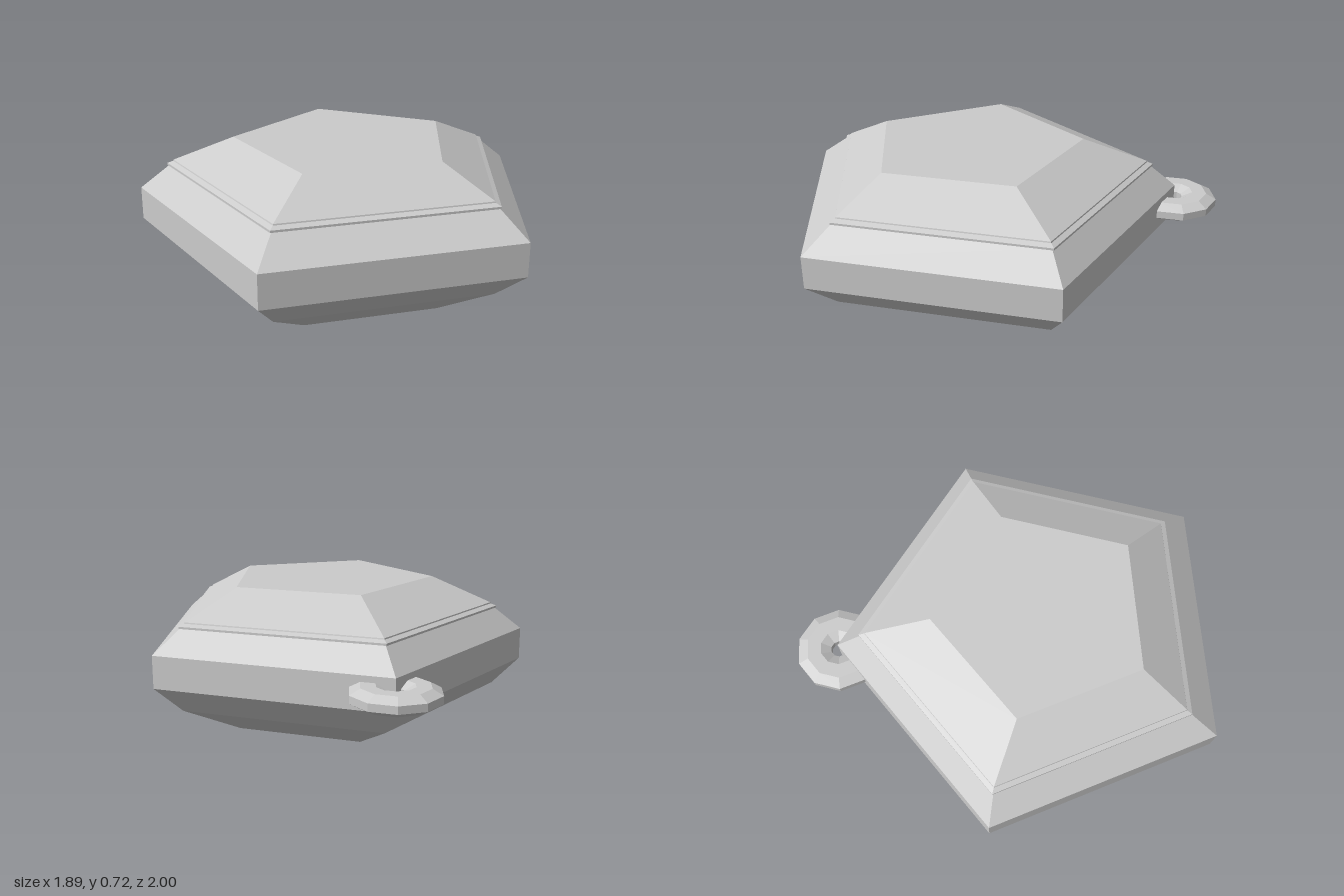
import * as THREE from 'three';

const material = new THREE.MeshStandardMaterial({ color: 0xcccccc, flatShading: true });

// Closed solid from stacked pentagons, each [radius, y, centre z], bottom to top; one corner points back
function pentagonLoft(name, rings) {
  const positions = [];
  const corner = ([r, y, cz], k) => {
    const a = Math.PI + (k * Math.PI * 2) / 5;
    return [r * Math.sin(a), y, cz + r * Math.cos(a)];
  };
  const first = rings[0], last = rings[rings.length - 1];
  for (let k = 0; k < 5; k++) {
    for (let i = 0; i < rings.length - 1; i++) {
      const a = corner(rings[i], k), b = corner(rings[i], k + 1);
      const c = corner(rings[i + 1], k + 1), d = corner(rings[i + 1], k);
      positions.push(...a, ...b, ...c, ...a, ...c, ...d);
    }
    // flat caps
    positions.push(0, first[1], first[2], ...corner(first, k + 1), ...corner(first, k));
    positions.push(0, last[1], last[2], ...corner(last, k), ...corner(last, k + 1));
  }
  const geometry = new THREE.BufferGeometry();
  geometry.setAttribute('position', new THREE.Float32BufferAttribute(positions, 3));
  geometry.computeVertexNormals();
  const mesh = new THREE.Mesh(geometry, material);
  mesh.name = name;
  return mesh;
}

export function createModel() {
  const model = new THREE.Group();
  model.name = 'pentagonCase';

  // Faceted case with a straight band around its widest part
  model.add(pentagonLoft('body', [
    [0.536, 0, 0.21],
    [0.85, 0.16, 0.18],
    [0.995, 0.29, 0.195],
    [0.995, 0.45, 0.195],
    [0.846, 0.565, 0.18],
  ]));

  // Lid with a thin lip, bevelled up to a flat top
  model.add(pentagonLoft('lid', [
    [0.857, 0.563, 0.177],
    [0.857, 0.573, 0.177],
    [0.828, 0.584, 0.177],
    [0.826, 0.59, 0.177],
    [0.536, 0.72, 0.21],
  ]));

  // Flattened keyring loop through the back corner
  const profile = [
    [0.21, -0.018], [0.21, 0.018], [0.16, 0.045], [0.09, 0.045],
    [0.04, 0.018], [0.04, -0.018], [0.09, -0.045], [0.16, -0.045], [0.21, -0.018],
  ].map(([r, y]) => new THREE.Vector2(r, y));
  const loop = new THREE.Mesh(new THREE.LatheGeometry(profile, 10, Math.PI / 10), material);
  loop.name = 'keyringLoop';
  loop.position.set(0, 0.375, -0.8);
  model.add(loop);

  return model;
}
